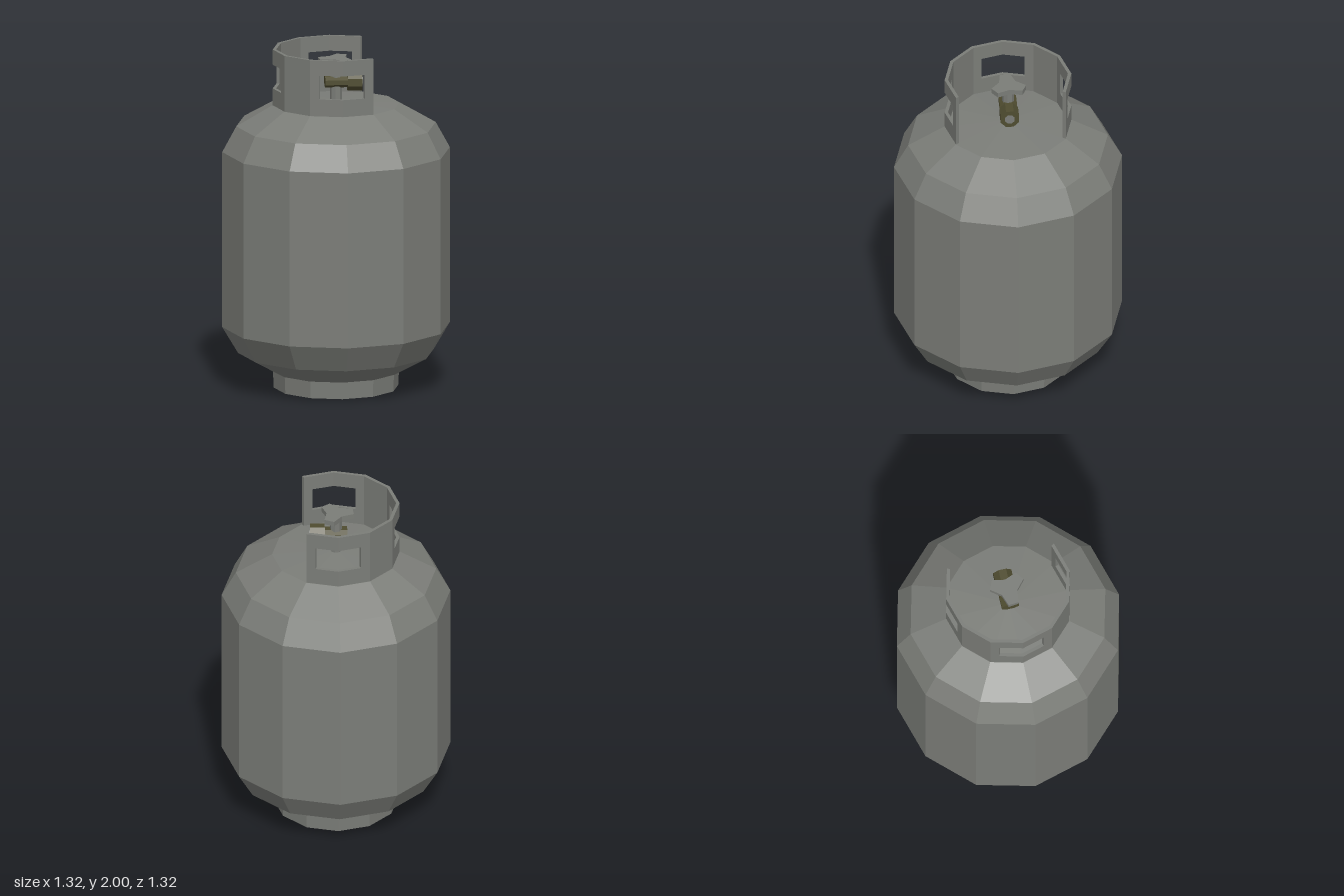
import * as THREE from 'three';

const STEP = Math.PI / 6;
const OFFSET = -Math.PI / 36;

// Give every triangle its own normal for a faceted look
function faceted(geometry) {
  const flat = geometry.index ? geometry.toNonIndexed() : geometry;
  flat.computeVertexNormals();
  return flat;
}

function addMesh(parent, name, geometry, material) {
  const mesh = new THREE.Mesh(faceted(geometry), material);
  mesh.name = name;
  parent.add(mesh);
  return mesh;
}

function turned(points) {
  const profile = points.map(([r, y]) => new THREE.Vector2(r, y));
  return new THREE.LatheGeometry(profile, 12, OFFSET);
}

// One flat collar panel; a notch on one side forms half of a window
function collarPanel(index) {
  const bottom = 1.665, top = 2, low = 1.77, high = 1.91, reach = 0.72;
  const right = index % 3 === 0, left = index % 3 === 1;
  const outline = [[0, bottom], [1, bottom]];
  if (right) outline.push([1, low], [1 - reach, low], [1 - reach, high], [1, high]);
  outline.push([1, top], [0, top]);
  if (left) outline.push([0, high], [reach, high], [reach, low], [0, low]);
  const shape = new THREE.Shape(outline.map(([u, y]) => new THREE.Vector2(u, y)));
  const geometry = new THREE.ExtrudeGeometry(shape, { depth: 1, bevelEnabled: false });

  // Wrap the panel onto its side of the twelve-sided ring
  const a = OFFSET + (index - 8) * STEP, b = a + STEP;
  const pos = geometry.attributes.position;
  for (let i = 0; i < pos.count; i++) {
    const u = pos.getX(i), r = 0.348 + 0.02 * pos.getZ(i);
    const x = r * THREE.MathUtils.lerp(Math.sin(a), Math.sin(b), u);
    const z = r * THREE.MathUtils.lerp(Math.cos(a), Math.cos(b), u);
    pos.setXYZ(i, x, pos.getY(i), z);
  }
  return geometry;
}

export function createModel() {
  const model = new THREE.Group();
  model.name = 'gasCylinder';
  const steel = new THREE.MeshStandardMaterial({ color: 0x7b7d78 });
  steel.name = 'grey steel';
  const brass = new THREE.MeshStandardMaterial({ color: 0x4f4c30 });
  brass.name = 'dark brass';

  // Tank and foot ring
  addMesh(model, 'tank', turned([
    [0, 0.1], [0.37, 0.1], [0.57, 0.21], [0.662, 0.365], [0.662, 1.4],
    [0.58, 1.55], [0.37, 1.67], [0, 1.695],
  ]), steel);
  addMesh(model, 'footRing', turned([[0, 0], [0.362, 0], [0.367, 0.1]]), steel);

  // Open guard collar with three windows
  const collar = new THREE.Group();
  collar.name = 'collar';
  model.add(collar);
  for (let i = 0; i < 8; i++) addMesh(collar, 'collarPanel', collarPanel(i), steel);

  // Valve stem
  const stem = addMesh(model, 'valveStem', new THREE.CylinderGeometry(0.035, 0.035, 0.25, 8), steel);
  stem.position.y = 1.8;

  // Three-lobed hand wheel
  const outline = [];
  for (let i = 0; i < 3; i++) {
    for (const [turn, r] of [[-0.29, 0.105], [0.29, 0.105], [Math.PI / 3, 0.055]]) {
      const angle = -Math.PI / 2 + i * 2 * Math.PI / 3 + turn;
      outline.push(new THREE.Vector2(r * Math.cos(angle), r * Math.sin(angle)));
    }
  }
  const wheel = new THREE.ExtrudeGeometry(new THREE.Shape(outline), { depth: 0.03, bevelEnabled: false });
  wheel.rotateX(-Math.PI / 2);
  addMesh(model, 'handWheel', wheel, steel).position.y = 1.915;

  // Valve outlet: flattened body, round nut and end opening
  const outlet = new THREE.Group();
  outlet.name = 'valveOutlet';
  outlet.position.y = 1.805;
  outlet.rotation.y = 0.94;
  model.add(outlet);
  const barrel = (radius, length) =>
    new THREE.CylinderGeometry(radius, radius, length, 8).rotateX(Math.PI / 2).rotateZ(Math.PI / 8);
  const body = addMesh(outlet, 'valveBody', barrel(0.055, 0.15).scale(1, 0.65, 1), brass);
  body.position.z = 0.01;
  const nut = addMesh(outlet, 'outletNut', barrel(0.058, 0.085), brass);
  nut.position.z = 0.108;
  const opening = addMesh(outlet, 'outletOpening', barrel(0.03, 0.006), steel);
  opening.position.z = 0.151;

  return model;
}
